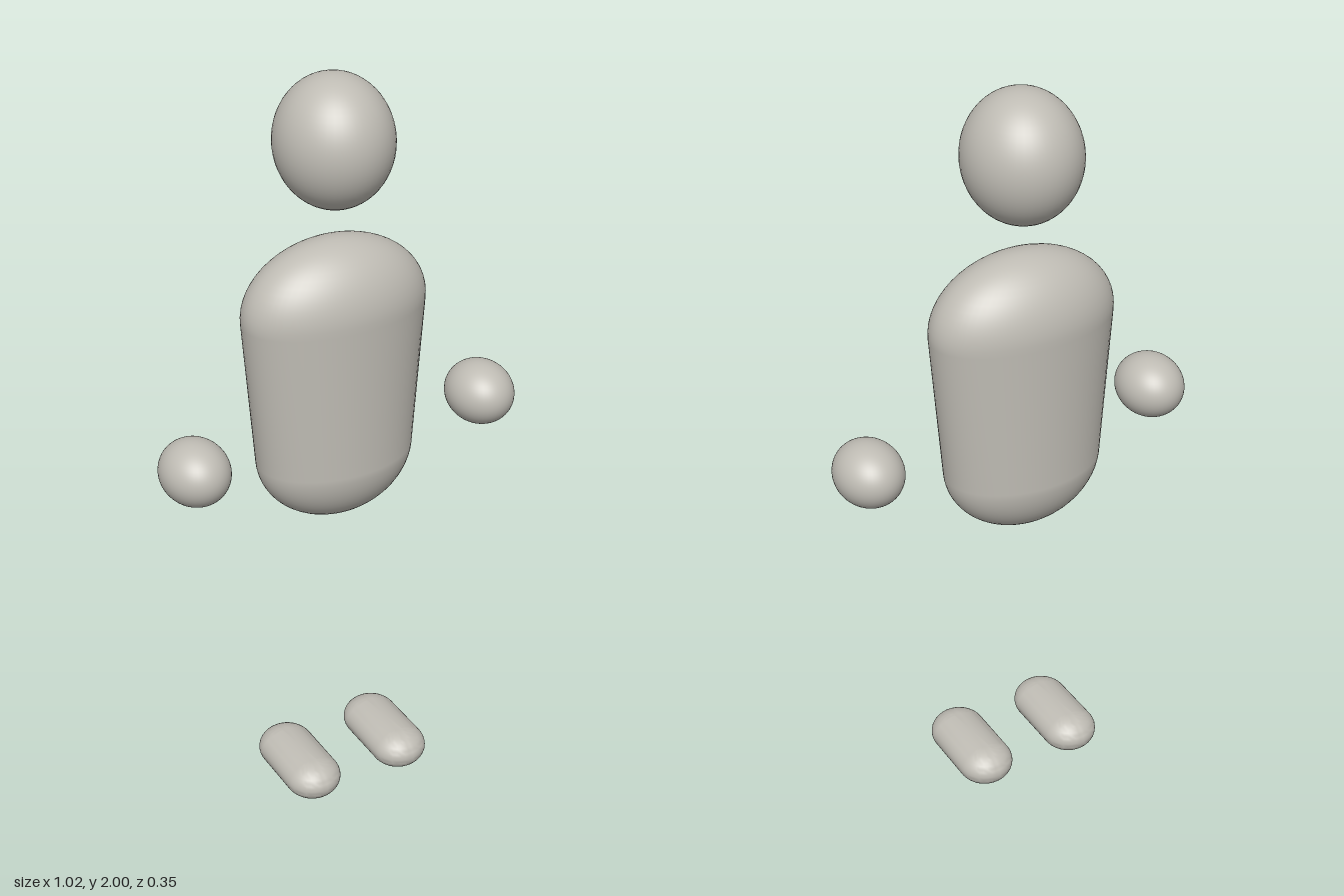
import * as THREE from 'three';
import { mergeVertices, toCreasedNormals } from 'three/addons/utils/BufferGeometryUtils.js';

// points on an ellipse arc, from angle a to angle b
function arc(r, h, cy, a, b, n) {
  const pts = [];
  for (let i = 0; i <= n; i++) {
    const t = a + (b - a) * i / n;
    pts.push(new THREE.Vector2(Math.max(0, r * Math.cos(t)), cy + h * Math.sin(t)));
  }
  return pts;
}

// move every vertex by a rule, then rebuild smooth welded normals
function reshape(geo, rule) {
  const p = geo.attributes.position, v = new THREE.Vector3();
  for (let i = 0; i < p.count; i++) {
    rule(v.fromBufferAttribute(p, i));
    p.setXYZ(i, v.x, v.y, v.z);
  }
  geo.deleteAttribute('uv');
  geo.deleteAttribute('normal');
  const welded = mergeVertices(geo, 1e-5);
  welded.computeVertexNormals();
  return welded;
}

export function createModel() {
  const model = new THREE.Group();
  model.name = 'floatingFigure';
  const grey = new THREE.MeshStandardMaterial({ color: 0xbfbcb4 });
  grey.name = 'warmGrey';

  const add = (name, geo, x, y, z) => {
    const mesh = new THREE.Mesh(geo, grey);
    mesh.name = name;
    mesh.position.set(x, y, z);
    model.add(mesh);
  };
  const ellipsoid = (rx, ry, rz) => new THREE.SphereGeometry(1, 48, 32).scale(rx, ry, rz);

  // head
  add('head', ellipsoid(0.148, 0.168, 0.157), 0, 1.832, -0.018);

  // torso: domed ends, constant depth, tapering in width towards the hips
  const tilt = -0.065, depth = 0.15, dome = 0.185;
  const low = arc(depth, dome, 0.99, -Math.PI / 2, tilt, 16);
  const high = arc(depth, dome, 1.395, tilt, Math.PI / 2, 16);
  const yLow = low[low.length - 1].y, yHigh = high[0].y;
  const torso = reshape(new THREE.LatheGeometry([...low, ...high], 64), v => {
    const k = THREE.MathUtils.clamp((v.y - yLow) / (yHigh - yLow), 0, 1);
    v.x *= THREE.MathUtils.lerp(0.218, 0.253, k) / depth;
  });
  add('torso', torso, 0, 0, -0.018);

  // foot: flattened capsule lying along z, cut flat at the ground
  const footY = 0.034, footH = 0.055, footR = 0.078, segments = 40;
  const cut = -Math.asin(footY / footH);
  const profile = [new THREE.Vector2(0, 0), ...arc(footR, footH, footY, cut, Math.PI / 2, 16)];
  const foot = toCreasedNormals(reshape(
    new THREE.LatheGeometry(profile, segments, Math.PI / segments),
    v => { if (Math.abs(v.z) > 1e-6) v.z += Math.sign(v.z) * 0.073; }
  ), 0.6);

  // hands and feet, mirrored
  const hand = ellipsoid(0.089, 0.085, 0.103);
  for (const [side, s] of [['left', 1], ['right', -1]]) {
    add(side + 'Hand', hand, s * 0.42, 1.056, 0.022);
    add(side + 'Foot', foot, s * 0.137, 0, 0.026);
  }
  return model;
}
